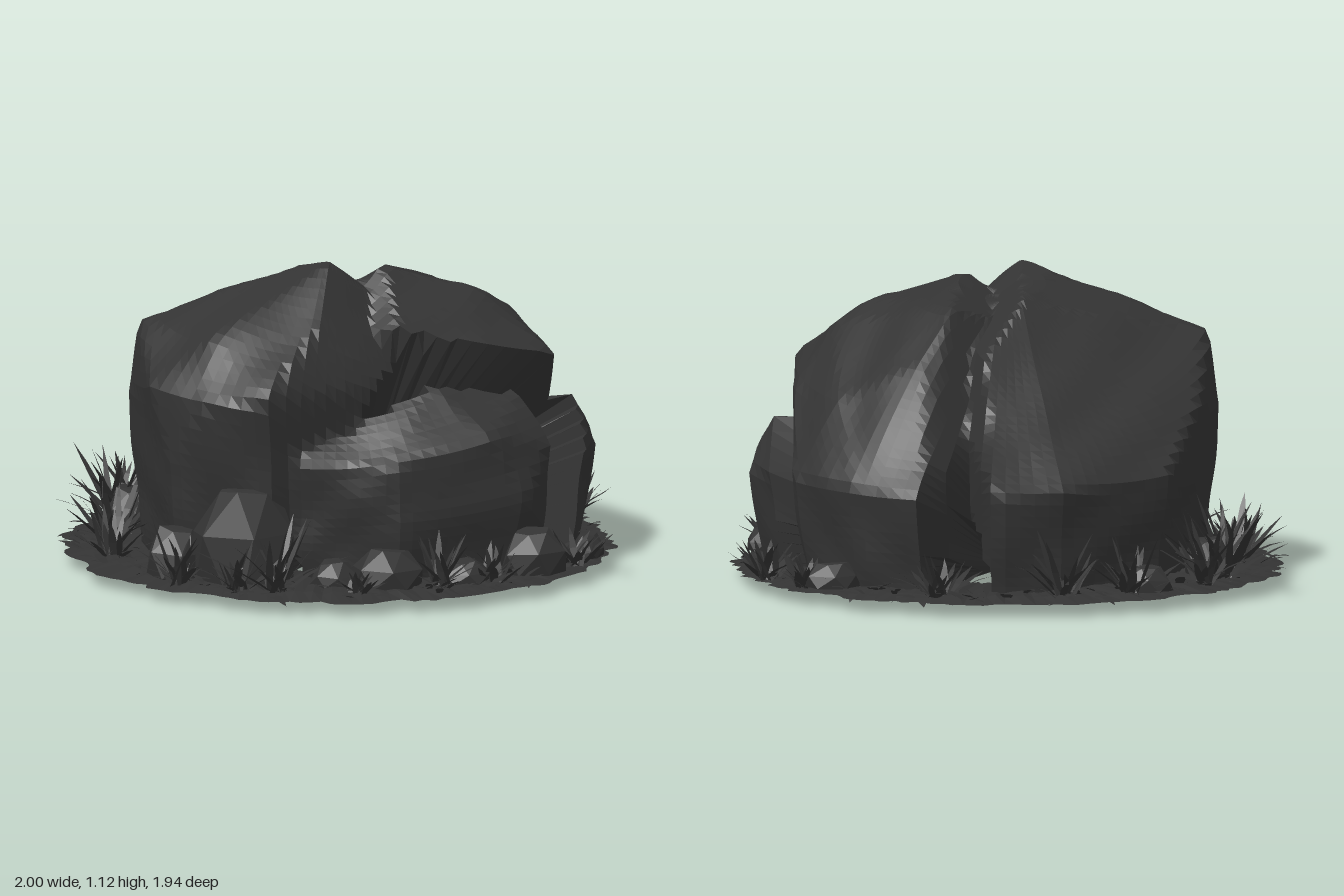
import * as THREE from 'three';
import { ConvexGeometry } from 'three/addons/geometries/ConvexGeometry.js';

const charcoal = new THREE.MeshStandardMaterial({ color: 0x333333, side: THREE.DoubleSide });
charcoal.name = 'charcoal';

let seed = 7;
const rand = (a = 0, b = 1) => {
  seed = (seed * 16807) % 2147483647;
  return a + (b - a) * (seed / 2147483647);
};

// Non-indexed geometry with one flat normal per triangle
function flat(points) {
  const g = new THREE.BufferGeometry().setFromPoints(points);
  g.computeVertexNormals();
  return g;
}

function addMesh(parent, name, geometry) {
  const m = new THREE.Mesh(geometry, charcoal);
  m.name = name;
  parent.add(m);
  return m;
}

const hullOf = corners => new ConvexGeometry(corners.map(c => new THREE.Vector3(...c)));

// Main corners of the four overlapping masses that shape the boulder
const leftMass = [
  [-0.71, 0.89, 0.06], [-0.75, 0.62, 0.05], [-0.69, 0.72, 0.4], [-0.47, 0.9, 0.42], [-0.52, 0.7, 0.6],
  [-0.3, 0.72, 0.7], [-0.62, 0.42, 0.5], [-0.28, 0.5, 0.66], [-0.15, 1.1, 0.12], [-0.04, 1.12, 0.2],
  [-0.1, 0.94, 0.46], [-0.69, 0.66, -0.22], [-0.05, 1.02, -0.18], [-0.58, 0.45, -0.5], [-0.2, 0.42, -0.78],
  [0.05, 0.42, -0.84], [0.08, 0.85, -0.4], [0.3, 0.86, 0.15], [0.15, 0.72, 0.42]
];
const rightMass = [
  [0.16, 1.09, 0.12], [0.2, 1.01, -0.25], [0.47, 1.01, 0.08], [0.62, 0.92, 0.05], [0.76, 0.78, 0.22],
  [0.77, 0.7, -0.08], [0.5, 0.84, 0.32], [0.2, 0.9, 0.38], [0.77, 0.42, -0.42], [0.55, 0.42, -0.66],
  [0.3, 0.4, -0.78], [0.6, 0.7, -0.35], [0.3, 0.84, -0.42], [-0.22, 0.85, 0.1]
];
const frontLedge = [
  [-0.2, 0.49, 0.62], [0.15, 0.48, 0.69], [0.3, 0.73, 0.42], [0.66, 0.68, 0.33], [0.52, 0.56, 0.58],
  [0.75, 0.5, 0.42], [0.2, 0.28, 0.7], [0.65, 0.33, 0.54]
];
const sideBlock = [[0.83, 0.6, 0], [0.89, 0.52, 0.02], [0.87, 0.42, 0.24], [0.93, 0.4, -0.06], [0.84, 0.42, -0.26]];

// Face planes of a mass: its low corners get feet drawn in a little, and it reaches the core
function planesOf(corners) {
  const feet = corners.filter(c => c[1] < 0.65).map(([x, , z]) => [x * 0.93, 0.03, z * 0.93]);
  const pos = hullOf([...corners, ...feet, [0, 0, 0]]).attributes.position, planes = [];
  for (let i = 0; i < pos.count; i += 3) {
    const tri = [0, 1, 2].map(k => new THREE.Vector3().fromBufferAttribute(pos, i + k));
    planes.push(new THREE.Plane().setFromCoplanarPoints(...tri));
  }
  return planes;
}

// Distance at which a ray leaves a hull, or 0 if it misses
function exitDistance(planes, origin, dir) {
  let near = 0, far = Infinity;
  for (const p of planes) {
    const slope = p.normal.dot(dir), gap = -p.distanceToPoint(origin);
    if (slope > 1e-6) far = Math.min(far, gap / slope);
    else if (slope < -1e-6) near = Math.max(near, gap / slope);
    else if (gap < -1e-4) return 0;
  }
  return far > near ? far : 0;
}

// One outer shell, open underneath: a half sphere pushed out to the masses
function boulderGeometry() {
  const hulls = [leftMass, rightMass, frontLedge, sideBlock].map(planesOf);
  const dome = new THREE.SphereGeometry(1, 96, 36, 0, Math.PI * 2, 0, Math.PI / 2);
  const pos = dome.attributes.position;
  const origin = new THREE.Vector3(0, 0.05, 0), v = new THREE.Vector3();
  for (let i = 0; i < pos.count; i++) {
    v.fromBufferAttribute(pos, i).normalize();
    const r = Math.max(...hulls.map(h => exitDistance(h, origin, v)));
    const chip = 0.008 * Math.sin(v.x * 13 + v.z * 8) * Math.cos(v.y * 14 - v.z * 6);
    v.multiplyScalar(r + chip).add(origin);
    pos.setXYZ(i, v.x, v.y, v.z);
  }
  const shell = dome.toNonIndexed();
  shell.computeVertexNormals();
  return shell;
}

// Small stones around the base: x, z, half width, height, half depth
const stones = [
  [-0.36, 0.6, 0.2, 0.4, 0.14], [-0.6, 0.5, 0.12, 0.24, 0.12], [0.14, 0.74, 0.13, 0.2, 0.1],
  [0.67, 0.54, 0.12, 0.22, 0.1], [-0.05, 0.72, 0.09, 0.15, 0.08], [0.42, 0.68, 0.09, 0.14, 0.08],
  [0.88, 0.28, 0.06, 0.14, 0.09], [-0.72, -0.3, 0.1, 0.2, 0.12], [-0.5, -0.68, 0.1, 0.15, 0.08],
  [0.62, -0.6, 0.1, 0.15, 0.08]
];

function stoneCorners([x, z, w, h, d]) {
  const pts = [];
  [[0.06, 1], [0.05 + (h - 0.05) * 0.55, 1], [h, 0.55]].forEach(([y, s], ring) => {
    for (let i = 0; i < 6; i++) {
      const a = (i + ring * 0.4) * Math.PI / 3, r = s * rand(0.85, 1.05);
      pts.push([x + Math.cos(a) * w * r, ring ? y * rand(0.9, 1) : y, z + Math.sin(a) * d * r]);
    }
  });
  return pts;
}

// Thin, bent, pointed leaf appended as triangles
function addBlade(out, base, angle, length, lift, width, droop) {
  const dir = new THREE.Vector3(Math.cos(angle), 0, Math.sin(angle));
  const side = new THREE.Vector3(-dir.z, 0, dir.x);
  const edge = [0, 0.4, 0.75, 1].map((t, i) => {
    const p = base.clone().addScaledVector(dir, length * Math.cos(lift) * t);
    p.y += length * (Math.sin(lift) * t - droop * t * t);
    const w = width * [0.6, 1, 0.6, 0][i];
    return [p.clone().addScaledVector(side, w), p.clone().addScaledVector(side, -w)].map(v => {
      v.x = THREE.MathUtils.clamp(v.x, -1, 1);
      v.z = THREE.MathUtils.clamp(v.z, -0.97, 0.97);
      v.y = Math.max(v.y, 0);
      return v;
    });
  });
  for (let i = 0; i < 3; i++) {
    const [a, b] = edge[i], [c, d] = edge[i + 1];
    out.push(a, c, b);
    if (i < 2) out.push(b, c, d);
  }
}

// Ragged ring of ground cover, open in the middle
function groundGeometry() {
  const n = 160, out = [];
  const rows = Array.from({ length: n }, (_, i) => {
    const a = i / n * Math.PI * 2;
    const rim = 0.962 + 0.012 * Math.cos(a * 2) + 0.012 * Math.sin(a * 17) + rand(-0.02, 0.02);
    return [[rand(0.43, 0.49), 0.05], [0.7, 0.06 + rand(0, 0.015)], [0.86, 0.055 + rand(0, 0.015)], [rim, 0.045]]
      .map(([r, y]) => new THREE.Vector3(Math.cos(a) * r, y, Math.sin(a) * r));
  });
  rows.forEach((p, i) => {
    const q = rows[(i + 1) % n];
    for (let k = 0; k < 3; k++) out.push(p[k], q[k], p[k + 1], q[k], q[k + 1], p[k + 1]);
  });
  return flat(out);
}

// Grass tufts: x, z, blade length
const tufts = [
  [-0.26, 0.8, 0.32], [-0.4, 0.78, 0.22], [-0.6, 0.64, 0.25], [-0.8, -0.05, 0.33], [-0.77, -0.36, 0.36],
  [-0.7, -0.5, 0.3], [-0.82, 0.2, 0.22], [0.33, 0.76, 0.24], [0.52, 0.68, 0.18], [0.83, 0.4, 0.19],
  [0.85, -0.38, 0.2], [0.72, -0.56, 0.15], [-0.22, -0.82, 0.3], [-0.45, -0.74, 0.24], [0.24, -0.82, 0.22],
  [0.03, 0.85, 0.13]
];

export function createModel() {
  const model = new THREE.Group();
  model.name = 'boulderWithGrass';
  addMesh(model, 'boulder', boulderGeometry());
  stones.forEach(s => addMesh(model, 'smallStone', hullOf(stoneCorners(s))));
  addMesh(model, 'groundCover', groundGeometry());

  // Upright tufts
  for (const [x, z, len] of tufts) {
    const out = [];
    for (let i = 0; i < 22; i++) {
      const base = new THREE.Vector3(x + rand(-0.03, 0.03), 0.05, z + rand(-0.03, 0.03));
      addBlade(out, base, i * 2.4, len * rand(0.65, 1.1), rand(0.5, 1.35), rand(0.011, 0.017), rand(0.05, 0.25));
    }
    addMesh(model, 'grassTuft', flat(out));
  }

  // Low leaves scattered over the ring
  const leaves = [];
  for (let i = 0; i < 360; i++) {
    const a = rand(0, Math.PI * 2), r = rand(0.72, 0.93);
    const base = new THREE.Vector3(Math.cos(a) * r, 0.06, Math.sin(a) * r);
    addBlade(leaves, base, a + rand(-1.8, 1.8), rand(0.05, 0.11), rand(0.1, 0.8), rand(0.012, 0.024), rand(0.2, 0.5));
  }
  addMesh(model, 'lowLeaves', flat(leaves));

  // Roots hanging just under the ring
  const roots = [];
  for (let i = 0; i < 40; i++) {
    const a = rand(0, Math.PI * 2), r = rand(0.5, 0.82);
    const base = new THREE.Vector3(Math.cos(a) * r, 0.05, Math.sin(a) * r);
    addBlade(roots, base, a + rand(0.8, 2.4), rand(0.08, 0.16), i % 8 ? -0.1 : -0.4, 0.012, 0);
  }
  addMesh(model, 'roots', flat(roots));
  return model;
}
